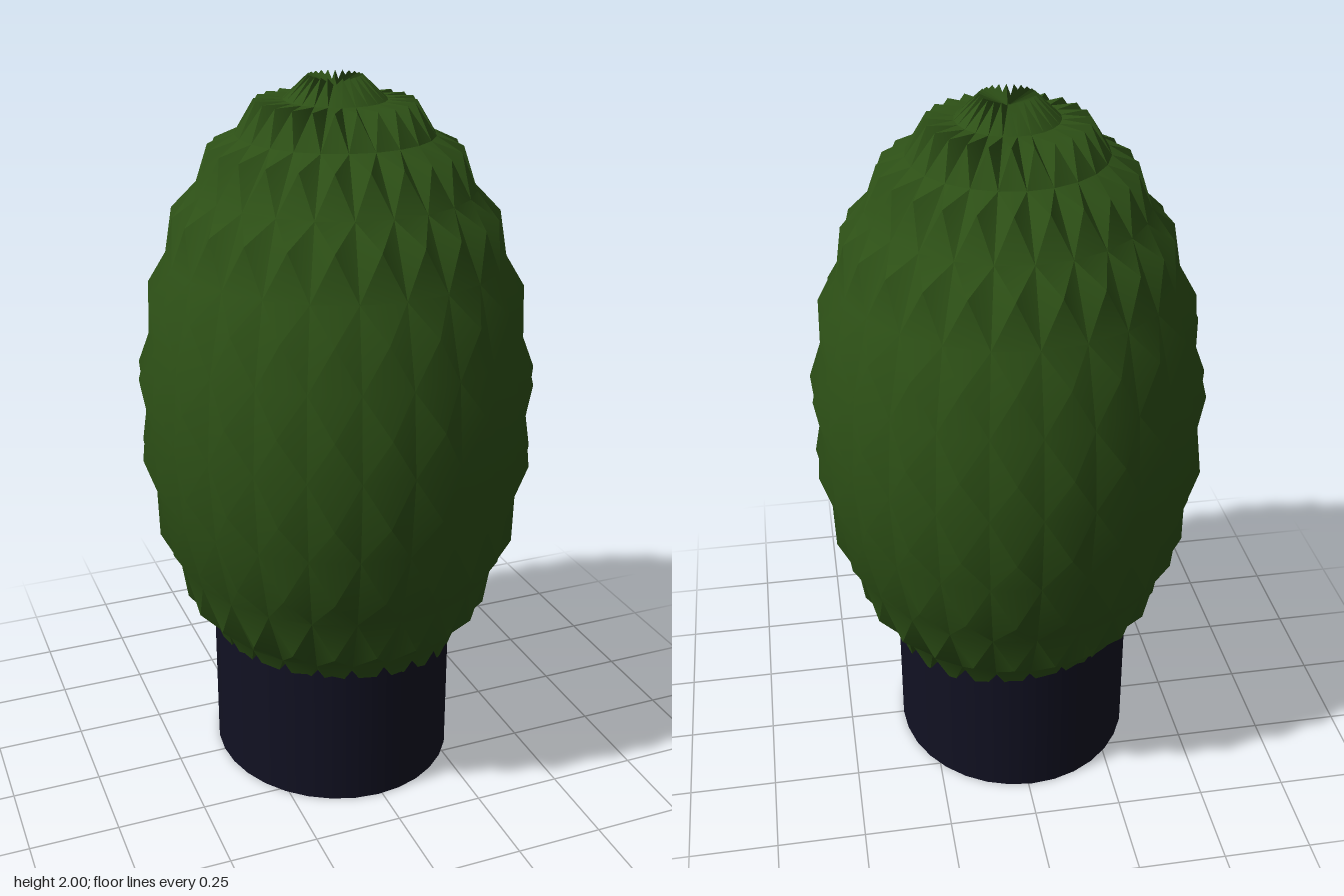
import * as THREE from 'three';
import { toCreasedNormals } from 'three/addons/utils/BufferGeometryUtils.js';

const COLUMNS = 24, ROWS = 12;
const VALLEY = 0.957; // cell corners sit slightly inside the cell tips

// Point on the egg; u counts columns, v counts rows from the top pole
function eggPoint(u, v, scale) {
  const a = (u / COLUMNS) * Math.PI * 2, p = (v / ROWS) * Math.PI;
  return [
    0.555 * scale * Math.sin(p) * Math.sin(a),
    0.928 * scale * Math.cos(p),
    0.585 * scale * Math.sin(p) * Math.cos(a),
  ];
}

// Each cell of the egg is raised to a shallow pyramid
function knobbyEgg() {
  const pos = [];
  for (let j = 0; j < ROWS; j++) {
    for (let i = 0; i < COLUMNS; i++) {
      const tip = eggPoint(i + 0.5, j + 0.5, 1);
      const ring = [[i, j], [i, j + 1], [i + 1, j + 1], [i + 1, j]];
      for (let k = 0; k < 4; k++) {
        // the side that collapses at each pole is skipped
        if ((j === 0 && k === 3) || (j === ROWS - 1 && k === 1)) continue;
        const a = ring[k], b = ring[(k + 1) % 4];
        pos.push(...eggPoint(a[0], a[1], VALLEY), ...eggPoint(b[0], b[1], VALLEY), ...tip);
      }
    }
  }
  const geo = new THREE.BufferGeometry();
  geo.setAttribute('position', new THREE.Float32BufferAttribute(pos, 3));
  geo.computeVertexNormals();
  return toCreasedNormals(geo, THREE.MathUtils.degToRad(35));
}

export function createModel() {
  const model = new THREE.Group();

  // Knobby egg-shaped body
  const body = new THREE.Mesh(knobbyEgg(), new THREE.MeshStandardMaterial({ color: 0x2d5016 }));
  body.name = 'body';
  body.position.y = 1.08;
  model.add(body);

  // Round stem, slightly oval and off centre
  const stem = new THREE.Mesh(
    new THREE.CylinderGeometry(1, 1, 0.44, 32),
    new THREE.MeshStandardMaterial({ color: 0x111122 })
  );
  stem.name = 'stem';
  stem.scale.set(0.348, 1, 0.378);
  stem.position.set(-0.012, 0.22, -0.002);
  model.add(stem);

  return model;
}
